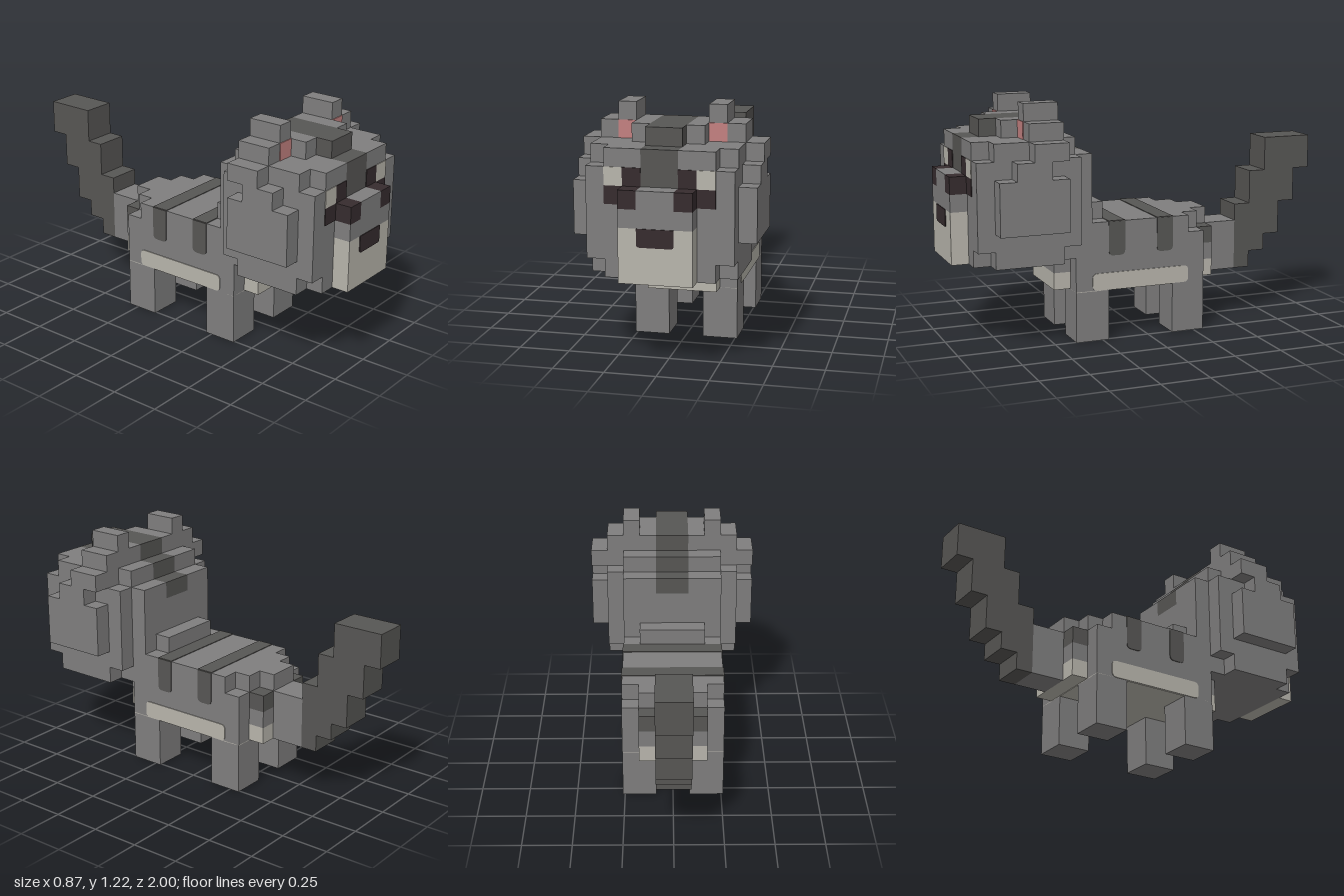
import * as THREE from 'three';

const U = 2 / 23; // one block; x from the middle, y from the ground, z from the tail tip

export function createModel() {
  const model = new THREE.Group();
  model.name = 'blockAnimal';

  const mat = (name, color) => {
    const m = new THREE.MeshStandardMaterial({ color });
    m.name = name;
    return m;
  };
  const grey = mat('greyFur', 0x7f7e7e);
  const dark = mat('darkFur', 0x575654);
  const pale = mat('paleFur', 0xb8b5ac);
  const black = mat('blackBrown', 0x362c2e);
  const pink = mat('earPink', 0xc38180);

  const add = (name, geometry, material) => {
    const mesh = new THREE.Mesh(geometry, material);
    mesh.name = name;
    model.add(mesh);
    return mesh;
  };

  // Box given by its limits in blocks
  const box = (name, m, [x0, x1], [y0, y1], [z0, z1]) => {
    const g = new THREE.BoxGeometry((x1 - x0) * U, (y1 - y0) * U, (z1 - z0) * U);
    g.translate((x0 + x1) / 2 * U, (y0 + y1) / 2 * U, (z0 + z1) / 2 * U - 1);
    return add(name, g, m);
  };
  const pair = (name, m, [x0, x1], y, z) => {
    box(name + 'Left', m, [x0, x1], y, z);
    box(name + 'Right', m, [-x1, -x0], y, z);
  };

  // Thin plate with rounded lower (and optionally upper) corners, centred, facing +z
  const plateGeometry = (w, h, bottom, top) => {
    const a = w / 2, b = h / 2, s = new THREE.Shape();
    s.moveTo(-a + bottom, -b).lineTo(a - bottom, -b);
    s.quadraticCurveTo(a, -b, a, -b + bottom).lineTo(a, b - top);
    s.quadraticCurveTo(a, b, a - top, b).lineTo(-a + top, b);
    s.quadraticCurveTo(-a, b, -a, b - top).lineTo(-a, -b + bottom);
    s.quadraticCurveTo(-a, -b, -a + bottom, -b);
    return new THREE.ExtrudeGeometry(s, { depth: 0.004, bevelEnabled: false, curveSegments: 4 });
  };
  const frontPlate = (name, m, [x0, x1], [y0, y1], z, bottom = 0, top = 0) => {
    const p = add(name, plateGeometry((x1 - x0) * U, (y1 - y0) * U, bottom, top), m);
    p.position.set((x0 + x1) / 2 * U, (y0 + y1) / 2 * U, z * U - 1);
  };
  const sidePlates = (name, m, x, [y0, y1], [z0, z1], bottom, top) => {
    for (const s of [1, -1]) {
      const p = add(name + (s > 0 ? 'Left' : 'Right'), plateGeometry((z1 - z0) * U, (y1 - y0) * U, bottom, top), m);
      p.rotation.y = s * Math.PI / 2;
      p.position.set(s * x * U, (y0 + y1) / 2 * U, (z0 + z1) / 2 * U - 1);
    }
  };

  // Body, rump and chest
  box('body', grey, [-3, 3], [3, 7], [9, 16]);
  box('rump', grey, [-3, 3], [3, 6], [8, 9]);
  box('rumpTop', grey, [-2, 2], [6, 7], [8, 9]);
  box('rumpBack', grey, [-2, 2], [4, 5], [7, 8]);
  box('rumpCentre', grey, [-1, 1], [5, 7], [7, 8]);
  pair('rumpPatch', dark, [1, 2], [5, 6], [7, 8]);
  box('rumpUnderside', pale, [-2, 2], [3, 4], [7, 8]);
  box('chest', grey, [-2, 2], [4, 5], [16, 17]);
  box('chestBib', pale, [-2, 2], [3, 4], [16, 17]);
  box('nape', grey, [-2, 2], [7, 8], [14, 15]);
  box('belly', pale, [-3, 3], [2.96, 3], [8, 16]);
  sidePlates('flankStrip', pale, 3, [3, 4], [9, 15], 0.025, 0.025);

  // Stripes over the back
  for (const z of [10, 13]) {
    box('backStripe', dark, [-3, 3], [7, 7.04], [z, z + 1]);
    sidePlates('sideStripe', dark, 3, [5, 7], [z, z + 1], 0.025, 0);
  }

  // Legs
  pair('frontLeg', grey, [1, 3], [0, 3], [14, 16]);
  pair('backLeg', grey, [1, 3], [0, 3], [8, 10]);

  // Tail rising in steps
  box('tailBase', grey, [-1, 1], [3, 6], [5, 7]);
  [[9, 11], [7, 11], [5, 11], [4, 9], [3, 7]].forEach((y, z) =>
    box('tailStep', dark, [-1, 1], y, [z, z + 1]));

  // Head, with stepped corners front and back
  box('head', grey, [-4, 4], [5, 12], [17, 21]);
  box('faceLower', grey, [-3, 3], [5, 10], [21, 22]);
  pair('brow', grey, [1, 3], [10, 12], [21, 22]);
  pair('faceCorner', grey, [3, 4], [6, 11], [21, 22]);
  box('headBack', grey, [-3, 3], [5, 11], [16, 17]);
  pair('headBackTop', grey, [1, 3], [11, 12], [16, 17]);
  pair('headBackCorner', grey, [3, 4], [6, 11], [16, 17]);
  box('neck', grey, [-3, 3], [5, 10], [15, 16]);
  pair('neckTop', grey, [1, 3], [10, 11], [15, 16]);
  pair('crown', grey, [1, 2], [12, 13], [17, 20]);

  // Dark stripe over the middle of the head
  box('stripeForehead', dark, [-1, 1], [10, 12], [21, 22]);
  box('stripeCrown', dark, [-1, 1], [12, 13], [17, 21]);
  box('stripeBack', dark, [-1, 1], [11, 12], [16, 17]);
  box('stripeNape', dark, [-1, 1], [10, 11], [15, 16]);

  // Cheeks and ears
  pair('cheek', grey, [4, 5], [7, 10], [17, 21]);
  pair('cheekUpper', grey, [4, 5], [10, 11], [18, 20]);
  pair('earOuter', grey, [4, 5], [11, 12], [17, 19]);
  pair('earBase', grey, [2, 4], [12, 13], [17, 19]);
  pair('earTip', grey, [2, 3], [13, 14], [17, 19]);
  pair('earInner', pink, [2, 3], [12, 13], [19, 19.05]);

  // Muzzle and nose
  box('muzzle', pale, [-2, 2], [5, 8], [22, 23]);
  box('noseBridge', grey, [-2, 2], [8, 9], [22, 23]);
  box('noseBridgeTop', grey, [-1, 1], [9, 10], [22, 23]);
  pair('eyeLower', black, [1, 2], [9, 10], [22, 23]);
  frontPlate('nose', black, [-1, 1], [7, 8], 23, 0.015);

  // Eyes
  pair('eyePupil', black, [1, 2], [10, 11], [22, 22.04]);
  pair('eyeCorner', black, [2, 3], [9, 10], [22, 22.04]);
  pair('eyeWhite', pale, [2, 3], [10, 11], [22, 22.04]);

  return model;
}
